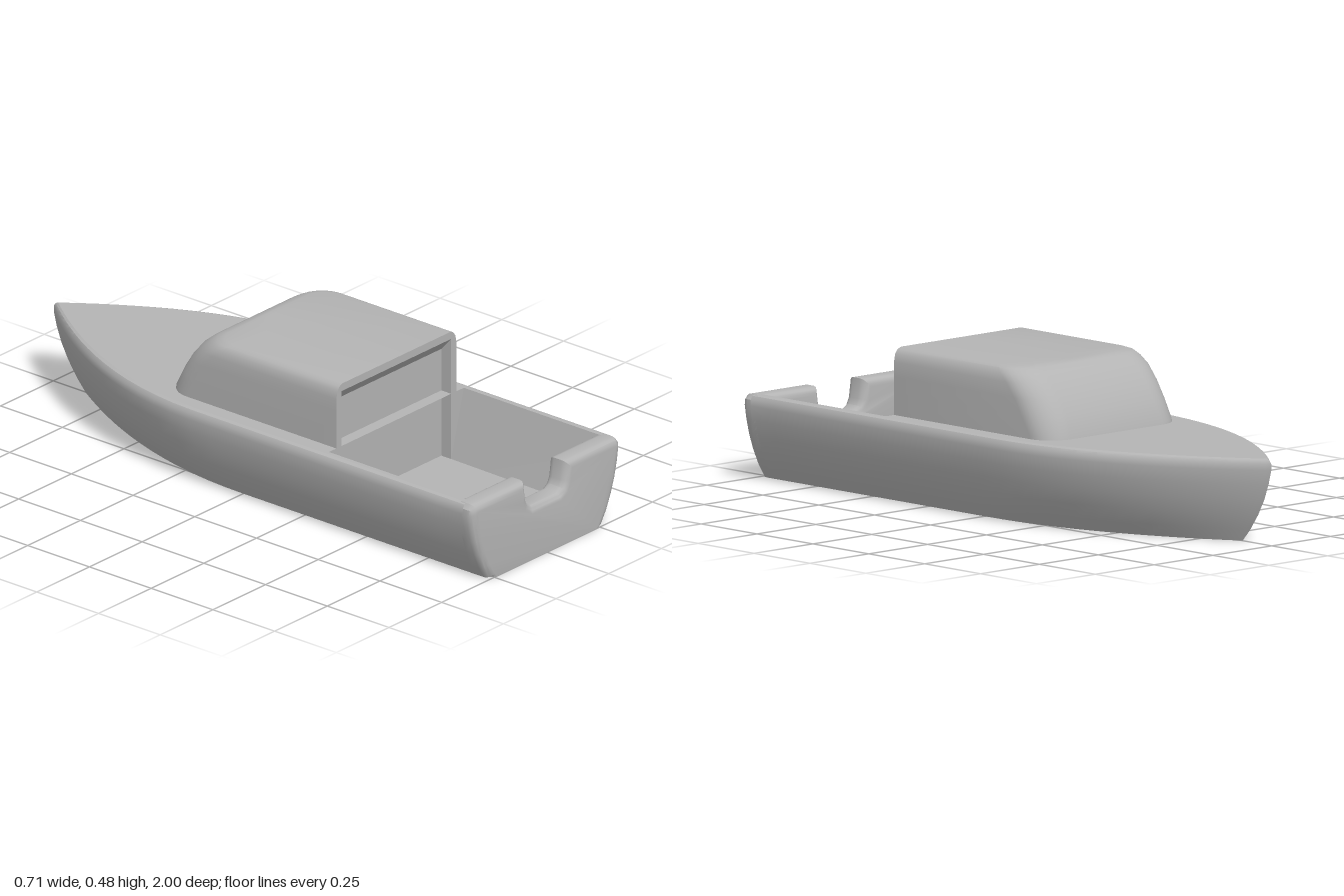
import * as THREE from 'three';
import { toCreasedNormals } from 'three/addons/utils/BufferGeometryUtils.js';

const grey = new THREE.MeshStandardMaterial({ color: 0xb4b4b4, side: THREE.DoubleSide });
grey.name = 'plain grey';

// Hull levels: height, half width, bow z
const HULL = [
  [0, 0.27, -0.87], [0.04, 0.295, -0.905], [0.09, 0.318, -0.94], [0.14, 0.335, -0.967],
  [0.19, 0.347, -0.986], [0.235, 0.354, -0.998], [0.255, 0.352, -0.998], [0.266, 0.345, -0.99], [0.27, 0.334, -0.98],
];
// Cabin levels: height, half width, front z, corner radius
const CABIN = [
  [0.25, 0.285, -0.312, 0.09], [0.28, 0.285, -0.306, 0.09], [0.34, 0.285, -0.28, 0.1],
  [0.39, 0.285, -0.248, 0.1], [0.435, 0.285, -0.21, 0.1], [0.46, 0.28, -0.18, 0.1],
  [0.474, 0.27, -0.155, 0.09], [0.48, 0.255, -0.13, 0.08],
];
const HULL_END = 0.96, CABIN_BACK = 0.39, RECESS = 0.35, FLOOR = 0.05, DECK = 0.27;

// Skin stretched over rows of points, wound so that (along row) x (row to row) faces out
function loft(rows) {
  const n = rows[0].length, index = [];
  for (let j = 0; j < rows.length - 1; j++) {
    for (let i = 0; i < n - 1; i++) {
      const a = j * n + i, d = a + n;
      index.push(a, a + 1, d + 1, a, d + 1, d);
    }
  }
  const g = new THREE.BufferGeometry();
  g.setAttribute('position', new THREE.Float32BufferAttribute(rows.flat(2), 3));
  g.setIndex(index);
  return toCreasedNormals(g, 0.6);
}

const flatten = (row) => row.map(([, y, z]) => [0, y, z]);
const mirrored = (half) => [...half, ...half.slice(0, -1).reverse().map(([x, y, z]) => [-x, y, z])];

// Horizontal hull outline, from the left stern round the bow to the right stern
function hullRow([y, w, bow]) {
  const half = [], N = 28;
  for (let i = 0; i <= N; i++) {
    const z = bow + (HULL_END - bow) * Math.pow(1 - i / N, 1.5);
    const u = Math.min(1, (z - bow) / 0.86);
    half.push([w * (1 - (1 - u) ** 2), y, z]);
  }
  return mirrored(half);
}

// Horizontal cabin outline with rounded front corners
function cabinRow([y, w, front, r]) {
  const half = [[w, y, CABIN_BACK]];
  for (let i = 0; i <= 8; i++) {
    const a = (i / 8) * Math.PI / 2;
    half.push([w - r + r * Math.cos(a), y, front + r - r * Math.sin(a)]);
  }
  half.push([0, y, front]);
  return mirrored(half);
}

const shapeOf = (points) => new THREE.Shape(points.map(([x, y]) => new THREE.Vector2(x, y)));
const symmetric = (half) => [...half, ...half.slice().reverse().map(([x, y]) => [-x, y])];

export function createModel() {
  const model = new THREE.Group();
  model.name = 'boat';
  const add = (name, geometry) => {
    const mesh = new THREE.Mesh(geometry, grey);
    mesh.name = name;
    model.add(mesh);
    return mesh;
  };

  // Hull sides and flat bottom
  const rows = HULL.map(hullRow);
  add('hull', loft([flatten(rows[0]), ...rows]));

  // Deck with the cockpit cut in from the stern
  const rim = rows[rows.length - 1].map(([x, , z]) => [x, -z]);
  const deck = new THREE.ShapeGeometry(shapeOf([
    ...rim, [-0.32, -HULL_END], [-0.32, -CABIN_BACK], [0.32, -CABIN_BACK], [0.32, -HULL_END],
  ]));
  deck.rotateX(-Math.PI / 2).translate(0, DECK, 0);
  add('deck', deck);

  // Transom with a rounded boarding notch
  const B = 0.025;
  const transomHalf = [
    [0.252, -B], ...HULL.slice(0, 6).map(([y, w]) => [w, y]), [0.352, 0.254], [0.338, DECK],
    [0.098, DECK], [0.089, 0.208], [0.08, 0.188], [0.062, 0.177],
  ];
  const transom = new THREE.ExtrudeGeometry(shapeOf(symmetric(transomHalf)), {
    depth: 0.08 - 2 * B, bevelEnabled: true, bevelSize: B, bevelOffset: -B, bevelThickness: B, bevelSegments: 4,
  });
  transom.translate(0, 0, 0.92 + B);
  const pos = transom.attributes.position;
  for (let i = 0; i < pos.count; i++) pos.setY(i, Math.max(0, pos.getY(i)));
  add('transom', toCreasedNormals(transom, 0.6));

  // Cockpit floor and sloping side walls
  add('cockpitFloor', loft([
    [[-0.26, FLOOR, 0.95], [0.26, FLOOR, 0.95]],
    [[-0.26, FLOOR, RECESS], [0.26, FLOOR, RECESS]],
  ]));
  for (const s of [1, -1]) {
    const low = [[s * 0.25, FLOOR, 0.95], [s * 0.26, FLOOR, CABIN_BACK]];
    const high = [[s * 0.32, DECK, 0.95], [s * 0.32, DECK, CABIN_BACK]];
    const wall = s > 0 ? [high, low] : [low, high];
    add(s > 0 ? 'leftCockpitWall' : 'rightCockpitWall', loft(wall.map((r) => r.slice())));
  }

  // Cabin shell and roof
  const cabinRows = CABIN.map(cabinRow);
  add('cabin', loft([...cabinRows, flatten(cabinRows[cabinRows.length - 1])]));

  // Rear frame of the cabin around its open doorway
  const outer = symmetric([
    [0.26, FLOOR], [0.32, DECK], [0.285, DECK], ...CABIN.slice(1).map(([y, w]) => [w, y]),
  ]);
  const frame = new THREE.ShapeGeometry(shapeOf([...outer, [-0.26, 0.455], [0.26, 0.455]]));
  frame.translate(0, 0, CABIN_BACK);
  add('cabinRearFrame', frame);

  // Shallow doorway recess: back wall, sloping head and sides
  add('recessWallAndHead', loft([
    [[-0.26, FLOOR, RECESS], [0.26, FLOOR, RECESS]],
    [[-0.26, 0.41, RECESS], [0.26, 0.41, RECESS]],
    [[-0.26, 0.455, CABIN_BACK], [0.26, 0.455, CABIN_BACK]],
  ]));
  for (const s of [1, -1]) {
    const back = [[s * 0.26, FLOOR, RECESS], [s * 0.26, 0.41, RECESS]];
    const front = [[s * 0.26, FLOOR, CABIN_BACK], [s * 0.26, 0.455, CABIN_BACK]];
    add(s > 0 ? 'leftRecessSide' : 'rightRecessSide', loft(s > 0 ? [front, back] : [back, front]));
  }
  return model;
}
